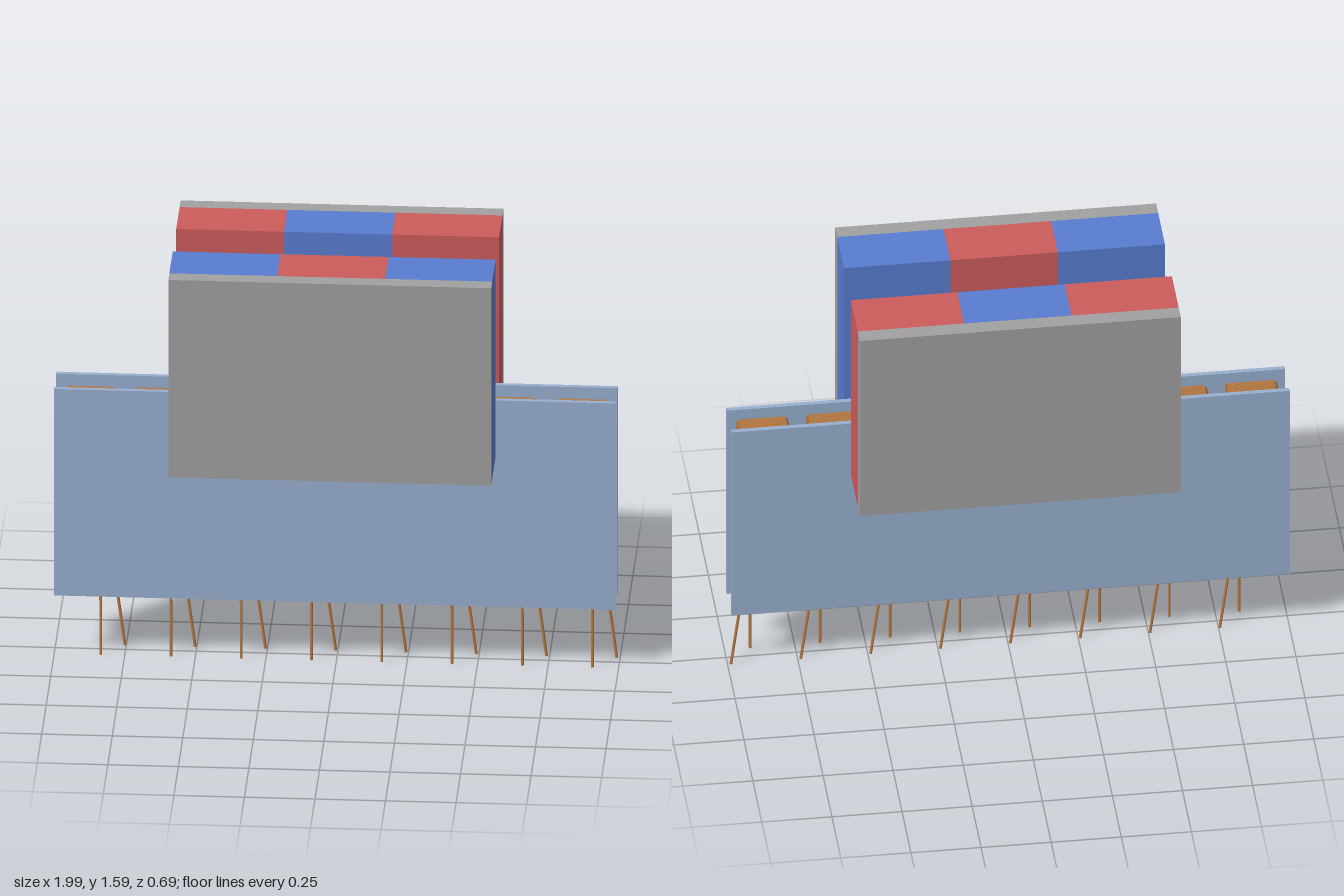
import * as THREE from 'three';

const material = (name, color) => {
  const m = new THREE.MeshStandardMaterial({ color });
  m.name = name;
  return m;
};

// Straight-sided path that passes exactly through its points
class Polyline extends THREE.Curve {
  constructor(points) {
    super();
    this.points = points;
  }
  getPoint(t, target = new THREE.Vector3()) {
    const last = this.points.length - 1;
    const i = Math.min(Math.floor(t * last + 1e-9), last - 1);
    return target.lerpVectors(this.points[i], this.points[i + 1], t * last - i);
  }
  getPointAt(t, target) { return this.getPoint(t, target); }
  getTangentAt(t, target) { return this.getTangent(t, target); }
}

const WIRE = 0.0055, LAYERS = 5, TURNS = 8;
const COIL_Y = 0.6325, Z_FRONT = 0.049, Z_BACK = -0.04;

// One continuous wire: straight lead, stacked rectangular layers, slanted lead
function coilGeometry() {
  const pts = [new THREE.Vector3(0.042, 0, Z_FRONT), new THREE.Vector3(0.042, 0.2, Z_FRONT)];
  for (let layer = 0; layer < LAYERS; layer++) {
    const w = 0.0365 + layer * 0.0127, h = 0.311 + layer * 0.0127, c = 0.007;
    const corners = [
      [w, -h + c], [w, h - c], [w - c, h], [-w + c, h],
      [-w, h - c], [-w, -h + c], [-w + c, -h], [w - c, -h],
    ];
    const from = layer % 2 ? Z_BACK : Z_FRONT;
    const to = layer % 2 ? Z_FRONT : Z_BACK;
    const count = TURNS * corners.length;
    for (let i = 0; i < count; i++) {
      const [x, y] = corners[i % corners.length];
      pts.push(new THREE.Vector3(x, COIL_Y + y, from + (to - from) * i / (count - 1)));
    }
  }
  pts.push(new THREE.Vector3(0.087, 0.265, Z_BACK), new THREE.Vector3(0.122, 0, Z_BACK));
  return new THREE.TubeGeometry(new Polyline(pts), pts.length - 1, WIRE, 6, false);
}

export function createModel() {
  const model = new THREE.Group();
  model.name = 'linearMotor';
  const plateBlue = material('plateBlue', 0x98aed0);
  const copper = material('copper', 0xb87a42);
  const steel = material('steelGrey', 0xa0a0a0);
  const red = material('northRed', 0xcc5c5c);
  const blue = material('southBlue', 0x587cd0);

  // Box given by its limits on each axis
  const box = (name, mat, [x0, x1], [y0, y1], [z0, z1], parent = model) => {
    const mesh = new THREE.Mesh(new THREE.BoxGeometry(x1 - x0, y1 - y0, z1 - z0), mat);
    mesh.position.set((x0 + x1) / 2, (y0 + y1) / 2, (z0 + z1) / 2);
    mesh.name = name;
    parent.add(mesh);
  };

  // Cover plates either side of the coils
  box('frontPlate', plateBlue, [-1, 0.99], [0.235, 1.035], [0.057, 0.075]);
  box('backPlate', plateBlue, [-1, 0.99], [0.235, 1.035], [-0.075, -0.057]);

  // Row of coils, each wound on a flat core
  const winding = coilGeometry();
  for (let i = 0; i < 8; i++) {
    const coil = new THREE.Group();
    coil.name = 'coil' + (i + 1);
    coil.position.x = -0.877 + i * 0.249;
    const wire = new THREE.Mesh(winding, copper);
    wire.name = 'winding';
    coil.add(wire);
    box('core', plateBlue, [-0.031, 0.031], [0.33, 0.938], [-0.057, 0.057], coil);
    model.add(coil);
  }

  // Two magnet blocks of opposite poles, each with a steel backing
  const splits = [-0.577, -0.195, 0.188, 0.567], height = [0.825, 1.59];
  for (const side of [1, -1]) {
    const block = new THREE.Group();
    block.name = side > 0 ? 'frontMagnets' : 'backMagnets';
    const depth = (a, b) => (side > 0 ? [a, b] : [-b, -a]);
    for (let i = 0; i < 3; i++) {
      const mat = (i % 2 === 0) === (side > 0) ? blue : red;
      box('magnet' + (i + 1), mat, [splits[i], splits[i + 1]], height, depth(0.097, 0.287), block);
    }
    box('backing', steel, [splits[0], splits[3]], height, depth(0.287, 0.345), block);
    model.add(block);
  }
  return model;
}
